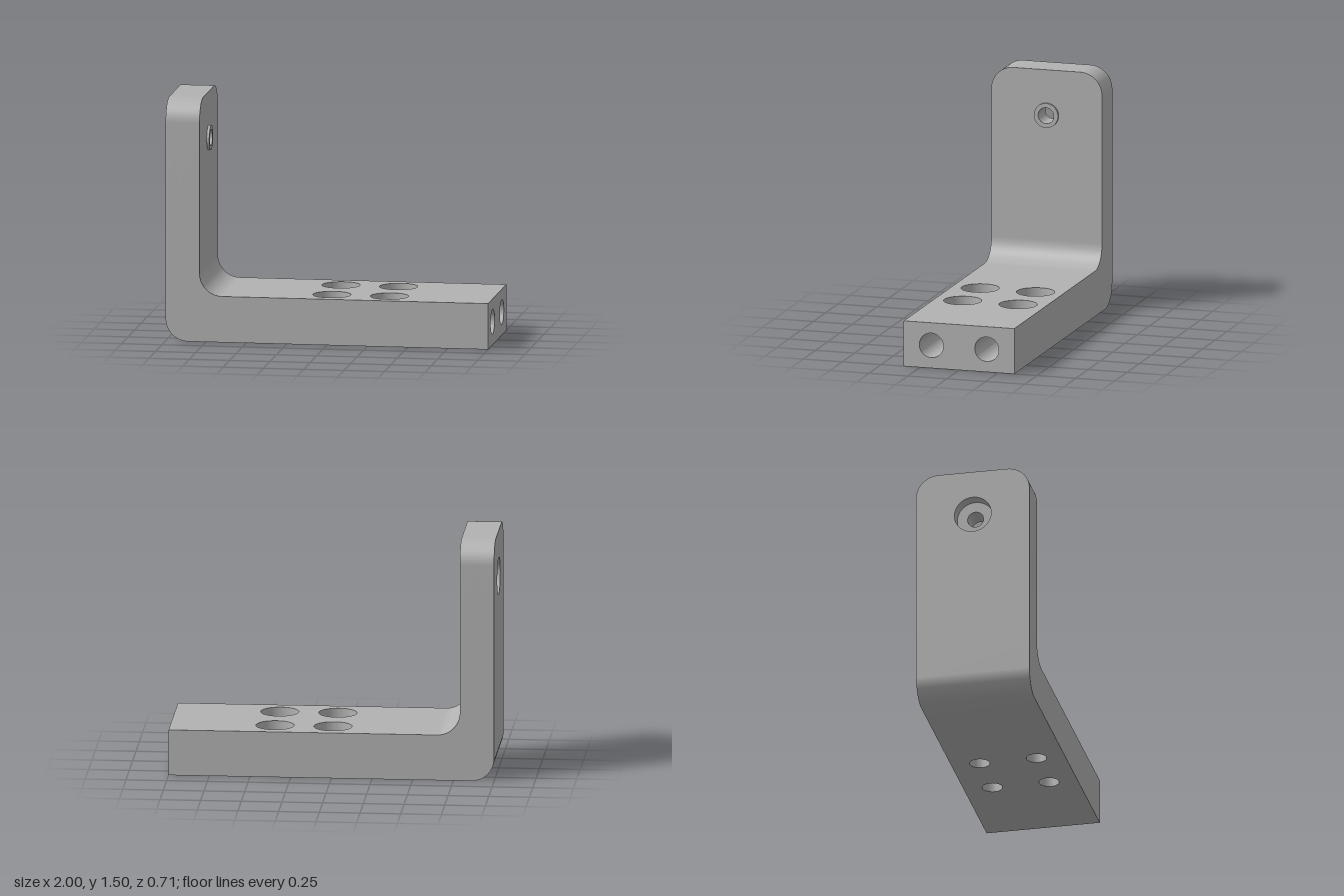
import * as THREE from 'three';
import { toCreasedNormals } from 'three/addons/utils/BufferGeometryUtils.js';

const HALF = 0.355;   // half width in z
const THICK = 0.285;  // base thickness
const INNER = -0.79;  // inner face of the upright
const R = 0.14;       // corner and fillet radius

export function createModel() {
  const model = new THREE.Group();
  const grey = new THREE.MeshStandardMaterial({ color: 0xb2b2b2 });

  const circle = (C, x, y, r) => new C().absarc(x, y, r, 0, Math.PI * 2, false);
  const rect = (x0, y0, x1, y1) => new THREE.Shape([
    [x0, y0], [x1, y0], [x1, y1], [x0, y1]].map(p => new THREE.Vector2(...p)));

  // Extrudes a shape along one axis, from one coordinate to another
  function solid(name, shape, holes, axis, from, to) {
    for (const [x, y, r] of holes) shape.holes.push(circle(THREE.Path, x, y, r));
    let g = new THREE.ExtrudeGeometry(shape, { depth: to - from, bevelEnabled: false, curveSegments: 32 });
    g.translate(0, 0, from);
    if (axis === 'x') g.rotateY(Math.PI / 2);
    if (axis === 'y') g.rotateX(-Math.PI / 2);
    g = toCreasedNormals(g, 0.6);
    const mesh = new THREE.Mesh(g, grey);
    mesh.name = name;
    model.add(mesh);
  }

  // Filleted corner joining base and upright
  const elbow = new THREE.Shape();
  elbow.moveTo(-1 + R, 0);
  elbow.lineTo(-0.6, 0);
  elbow.lineTo(-0.6, THICK);
  elbow.lineTo(INNER + R, THICK);
  elbow.absarc(INNER + R, THICK + R, R, -Math.PI / 2, -Math.PI, true);
  elbow.lineTo(INNER, 0.5);
  elbow.lineTo(-1, 0.5);
  elbow.lineTo(-1, R);
  elbow.absarc(-1 + R, R, R, Math.PI, Math.PI * 1.5, false);
  solid('cornerElbow', elbow, [], 'z', -HALF, HALF);

  // Upright with rounded top, counterbored from the outside
  const upright = () => {
    const s = new THREE.Shape();
    s.moveTo(-HALF, 0.5);
    s.lineTo(HALF, 0.5);
    s.lineTo(HALF, 1.495 - R);
    s.absarc(HALF - R, 1.495 - R, R, 0, Math.PI / 2, false);
    s.lineTo(-HALF + R, 1.495);
    s.absarc(-HALF + R, 1.495 - R, R, Math.PI / 2, Math.PI, false);
    return s;
  };
  const PIVOT = 1.21, STEP = -0.92;
  solid('uprightOuterLayer', upright(), [[0, PIVOT, 0.115]], 'x', -1, STEP);
  solid('uprightInnerLayer', upright(), [[0, PIVOT, 0.05]], 'x', STEP, INNER);
  solid('pivotBoss', circle(THREE.Shape, 0, PIVOT, 0.077), [[0, PIVOT, 0.05]], 'x', INNER, -0.774);

  // Base slab with four counterbored bolt holes
  const bolts = r => [0.003, 0.36].flatMap(x => [-0.178, 0.178].map(z => [x, z, r]));
  const slab = () => rect(-0.6, -HALF, 0.6, HALF);
  solid('baseLowerLayer', slab(), bolts(0.062), 'y', 0, 0.115);
  solid('baseUpperLayer', slab(), bolts(0.117), 'y', 0.115, THICK);

  // End block with two blind holes
  solid('baseEndBlock', rect(-HALF, 0, HALF, THICK),
    [-0.178, 0.178].map(z => [z, 0.143, 0.077]), 'x', 0.6, 1);

  return model;
}
